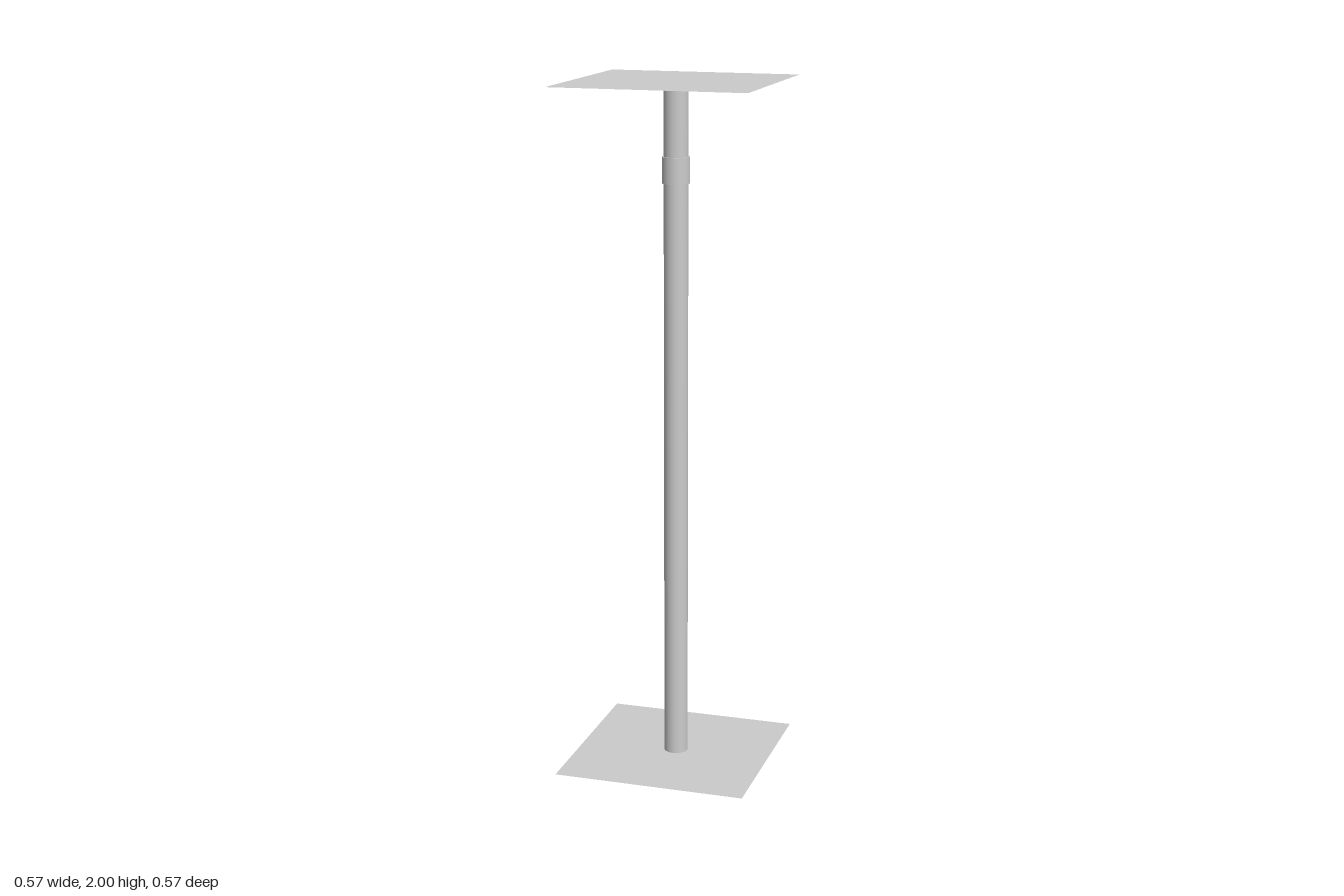
import * as THREE from 'three';

const HEIGHT = 2;
const PLATE = 0.567;
const POLE_R = 0.035;

export function createModel() {
  const group = new THREE.Group();
  const solid = new THREE.MeshStandardMaterial({ color: 0xcccccc });
  const thin = new THREE.MeshStandardMaterial({ color: 0xcccccc, side: THREE.DoubleSide });

  const add = (name, geometry, material, y) => {
    const mesh = new THREE.Mesh(geometry, material);
    mesh.name = name;
    mesh.position.y = y;
    group.add(mesh);
  };

  // Paper-thin square plates at both ends
  const plate = new THREE.PlaneGeometry(PLATE, PLATE).rotateX(-Math.PI / 2);
  add('basePlate', plate, thin, 0);
  add('topPlate', plate, thin, HEIGHT);

  // Round pole, closed off by the plates
  add('pole', new THREE.CylinderGeometry(POLE_R, POLE_R, HEIGHT, 32, 1, true), thin, HEIGHT / 2);

  // Slightly wider collar near the top
  add('collar', new THREE.CylinderGeometry(0.04, 0.04, 0.075, 32), solid, 1.752);

  return group;
}
